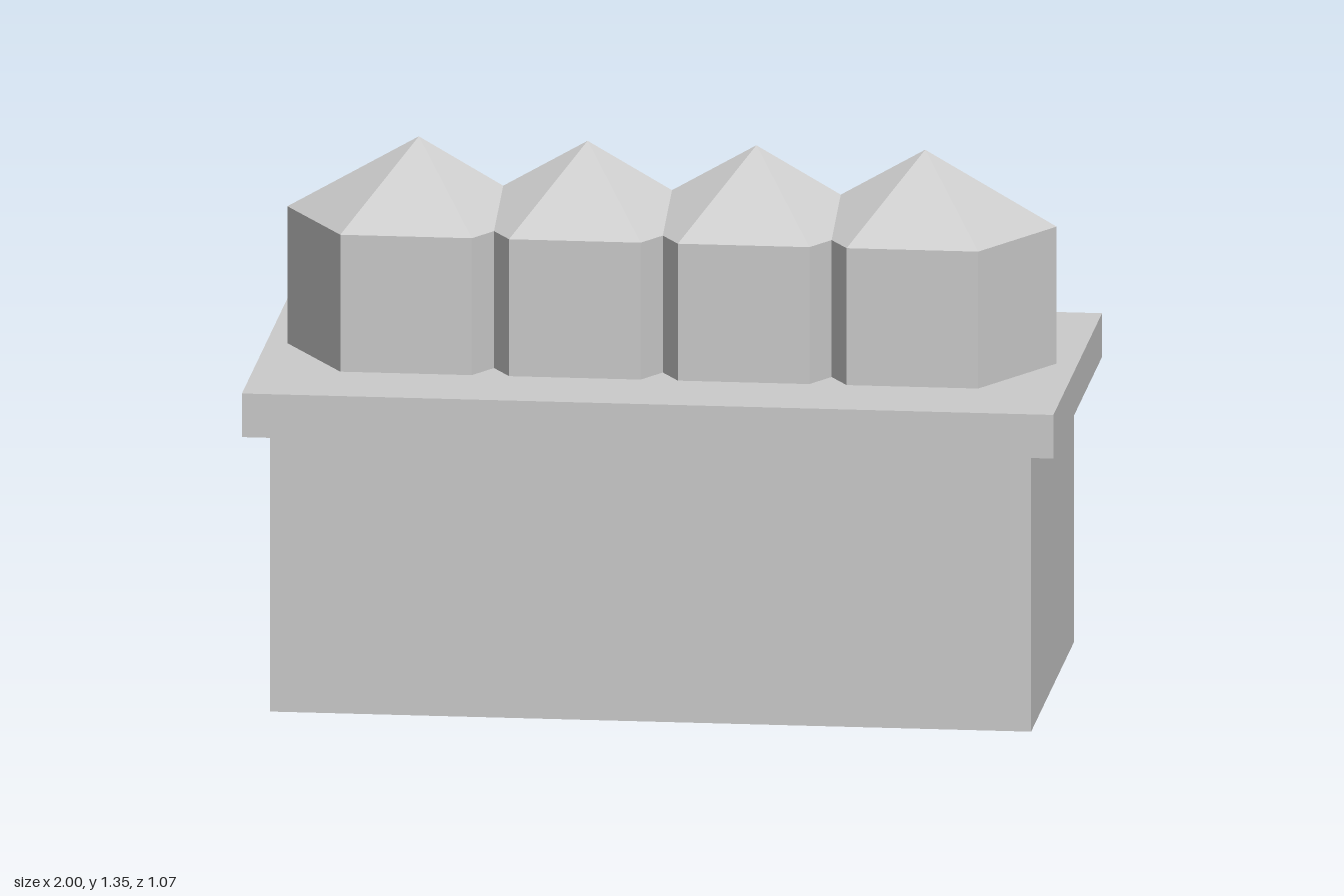
import * as THREE from 'three';

export function createModel() {
  const model = new THREE.Group();
  const stone = new THREE.MeshStandardMaterial({ color: 0xcccccc });
  stone.name = 'light grey stone';

  const add = (name, geometry, x, y, parent = model) => {
    const mesh = new THREE.Mesh(geometry, stone);
    mesh.name = name;
    mesh.position.set(x, y, 0);
    parent.add(mesh);
  };

  // Plinth and overhanging slab
  const baseTop = 0.705, slabTop = 0.815, eaves = 1.16, apex = 1.345;
  add('base', new THREE.BoxGeometry(1.876, baseTop, 0.94), 0, baseTop / 2);
  add('slab', new THREE.BoxGeometry(2, slabTop - baseTop, 1.066), 0, (baseTop + slabTop) / 2);

  // Row of merging hexagonal turrets, corners pointing along x
  const radius = 0.324, spacing = 0.416;
  const corner = Math.PI / 6;
  const wallHeight = eaves - slabTop, roofHeight = apex - eaves;
  const wall = new THREE.CylinderGeometry(radius, radius, wallHeight, 6, 1, true, corner).toNonIndexed();
  const roof = new THREE.ConeGeometry(radius, roofHeight, 6, 1, true, corner).toNonIndexed();
  wall.computeVertexNormals();
  roof.computeVertexNormals();
  for (let i = 0; i < 4; i++) {
    const turret = new THREE.Group();
    turret.name = `turret${i + 1}`;
    turret.position.x = (i - 1.5) * spacing;
    add('turretWall', wall, 0, slabTop + wallHeight / 2, turret);
    add('turretRoof', roof, 0, eaves + roofHeight / 2, turret);
    model.add(turret);
  }
  return model;
}
